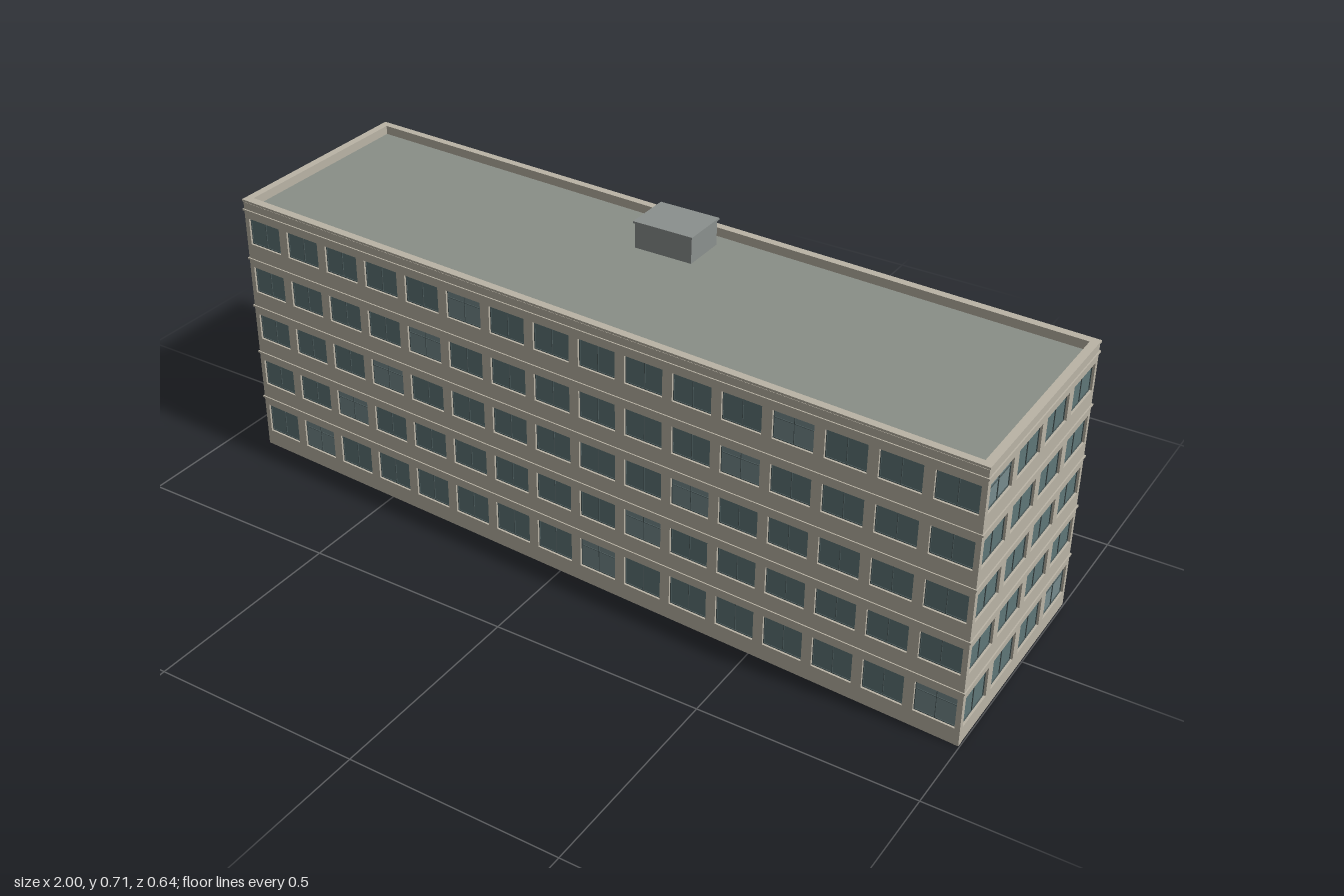
import * as THREE from 'three';
import { mergeGeometries } from 'three/addons/utils/BufferGeometryUtils.js';

const mat = (color) => new THREE.MeshStandardMaterial({ color });
const wallMat = mat(0xbab4a6), glassMat = mat(0x5f7678), paleGlassMat = mat(0x768b8d);
const frameMat = mat(0x4b5a5b), roofMat = mat(0x8a8f87), plantMat = mat(0x8b908e), canopyMat = mat(0x6c8084);

// Skewed footprint corners [x, z]: front left, front right, back right, back left
const corners = [[-0.907, 0.207], [0.997, 0.316], [0.997, -0.235], [-0.907, -0.317]];
const bays = [16, 4, 16, 4];
const names = ['frontWall', 'sideWallLeft', 'backWall', 'sideWallRight'];
const FLOORS = 5, STOREY = 0.1265, WALL_TOP = 0.66, DEPTH = 0.012, RECESS = 0.007;

function mesh(name, geometry, material) {
  const m = new THREE.Mesh(geometry, material);
  m.name = name;
  return m;
}

function box(w, h, d, x, y, z) {
  return new THREE.BoxGeometry(w, h, d).translate(x, y, z);
}

// Footprint corners pushed outward by d, in shape coordinates (y = -z)
function outline(d) {
  return corners.map(([x, z]) => new THREE.Vector2(x + Math.sign(x) * d, -(z + Math.sign(z) * d)));
}

// Footprint prism from y0 to y1; an inset leaves only a ring
function prism(d, y0, y1, inset) {
  const shape = new THREE.Shape(outline(d));
  if (inset) shape.holes.push(new THREE.Path(outline(-inset)));
  return new THREE.ExtrudeGeometry(shape, { depth: y1 - y0, bevelEnabled: false })
    .rotateX(-Math.PI / 2).translate(0, y0, 0);
}

function rectangle(target, x0, y0, x1, y1) {
  target.moveTo(x0, y0).lineTo(x1, y0).lineTo(x1, y1).lineTo(x0, y1).closePath();
  return target;
}

// One facade in its own plane: x along the wall, +z outward
function facade(side) {
  const [px, pz] = corners[side], [qx, qz] = corners[(side + 1) % 4];
  const length = Math.hypot(qx - px, qz - pz), pitch = length / bays[side];
  const shape = rectangle(new THREE.Shape(), 0, 0, length, WALL_TOP);
  const panes = [], palePanes = [], frames = [];
  for (let floor = 0; floor < FLOORS; floor++) {
    const y1 = 0.114 + floor * STOREY, y0 = floor ? y1 - 0.066 : 0.04;
    const h = y1 - y0, yc = (y0 + y1) / 2;
    for (let bay = 0; bay < bays[side]; bay++) {
      // the entrance takes the two middle ground floor bays
      if (side === 3 && floor === 0 && (bay === 1 || bay === 2)) continue;
      const x0 = bay * pitch + 0.012, x1 = (bay + 1) * pitch - 0.012;
      const w = x1 - x0, xc = (x0 + x1) / 2;
      shape.holes.push(rectangle(new THREE.Path(), x0, y0, x1, y1));
      const pale = (bay - floor - 1 - 2 * side + 28) % 7 === 0;
      (pale ? palePanes : panes).push(new THREE.PlaneGeometry(w, h).translate(xc, yc, -RECESS));
      // rim, mullion and transom
      const z = -RECESS + 0.001, t = 0.002;
      frames.push(
        box(w, t, t, xc, y0 + t / 2, z), box(w, t, t, xc, y1 - t / 2, z),
        box(t, h, t, x0 + t / 2, yc, z), box(t, h, t, x1 - t / 2, yc, z),
        box(0.0015, h, t, xc, yc, z));
      if (pale) frames.push(box(w, 0.0012, t, xc, y1 - h * 0.27, z));
    }
  }
  const wall = new THREE.ExtrudeGeometry(shape, { depth: DEPTH, bevelEnabled: false }).translate(0, 0, -DEPTH);
  const group = new THREE.Group();
  group.name = names[side];
  group.add(mesh('masonry', wall, wallMat), mesh('windowPanes', mergeGeometries(panes), glassMat),
    mesh('windowFrames', mergeGeometries(frames), frameMat));
  if (palePanes.length) group.add(mesh('paleWindowPanes', mergeGeometries(palePanes), paleGlassMat));
  group.position.set(px, 0, pz);
  group.rotation.y = Math.atan2(-(qz - pz), qx - px);
  return group;
}

function entrance() {
  const group = new THREE.Group();
  group.name = 'entrance';
  const x = -0.907, zc = -0.057;
  group.add(
    mesh('canopy', box(0.093, 0.012, 0.245, x - 0.0465, 0.147, zc), canopyMat),
    mesh('step', box(0.038, 0.005, 0.245, x - 0.019, 0.0025, zc), wallMat),
    mesh('doorGlass', box(0.006, 0.125, 0.17, x - 0.002, 0.0675, zc), glassMat));
  const bars = [box(0.01, 0.006, 0.18, x - 0.003, 0.133, zc)];
  for (const k of [-1, 0, 1]) bars.push(box(0.01, 0.128, 0.005, x - 0.003, 0.069, zc + k * 0.0875));
  group.add(mesh('doorFrame', mergeGeometries(bars), frameMat));
  return group;
}

export function createModel() {
  const model = new THREE.Group();
  model.name = 'officeBlock';
  for (let side = 0; side < 4; side++) model.add(facade(side));

  // Floor slab, roof deck and parapet
  model.add(mesh('baseSlab', prism(-0.001, 0, 0.01), roofMat));
  model.add(mesh('roofDeck', prism(-0.002, 0.636, 0.645), roofMat));
  model.add(mesh('parapet', prism(-0.001, 0.64, 0.662, 0.016), wallMat));
  model.add(mesh('parapetCap', prism(0.002, 0.662, 0.667, 0.017), wallMat));

  // Thin string courses between the storeys
  for (let i = 1; i <= FLOORS; i++) {
    const y = 0.008 + i * STOREY;
    model.add(mesh('stringCourse', prism(0.003, y - 0.002, y + 0.002, 0.005), wallMat));
  }

  // Rooftop plant room
  model.add(mesh('plantRoom', box(0.145, 0.064, 0.11, 0.035, 0.674, -0.165), plantMat));
  model.add(mesh('plantRoomRoof', box(0.152, 0.005, 0.117, 0.035, 0.7085, -0.165), plantMat));

  model.add(entrance());
  return model;
}
